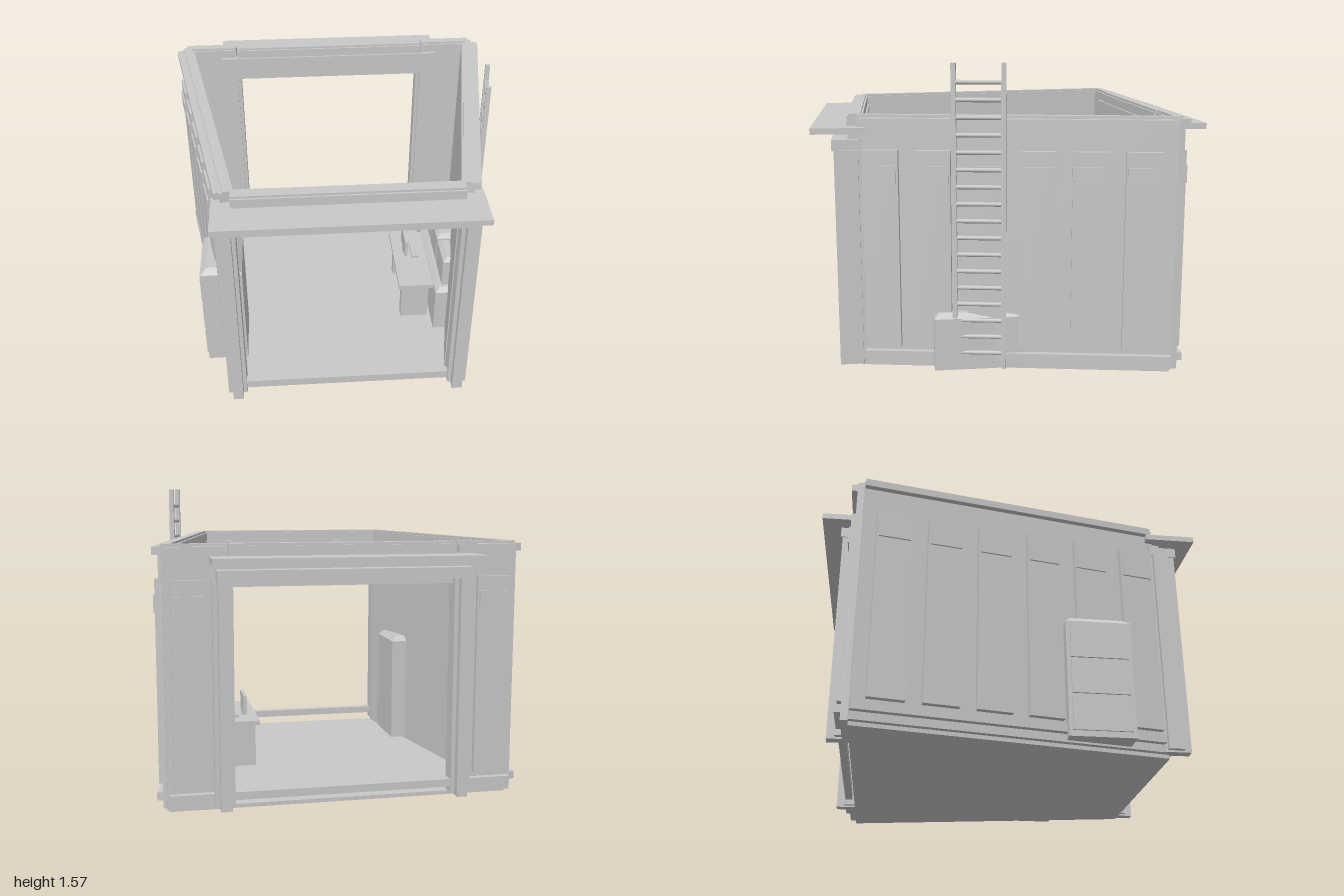
import * as THREE from 'three';

const mat = new THREE.MeshStandardMaterial({ color: 0xc8c8c8 });
mat.name = 'lightGrey';

function add(parent, name, geo) {
  const m = new THREE.Mesh(geo, mat);
  m.name = name;
  parent.add(m);
  return m;
}

// Box given by its limits on each axis
function box(parent, name, x0, x1, y0, y1, z0, z1) {
  const m = add(parent, name, new THREE.BoxGeometry(x1 - x0, y1 - y0, z1 - z0));
  m.position.set((x0 + x1) / 2, (y0 + y1) / 2, (z0 + z1) / 2);
  return m;
}

// Box whose top edges are cut at a slope
function chamferBox(parent, name, x0, x1, y0, y1, z0, z1, c) {
  const h = y1 - y0;
  const geo = new THREE.BoxGeometry(x1 - x0, h, z1 - z0, 1, 2, 1).toNonIndexed();
  const p = geo.attributes.position;
  for (let i = 0; i < p.count; i++) {
    const y = p.getY(i);
    if (Math.abs(y) < 1e-4) p.setY(i, h / 2 - c);
    else if (y > 0) {
      p.setX(i, p.getX(i) - Math.sign(p.getX(i)) * c);
      p.setZ(i, p.getZ(i) - Math.sign(p.getZ(i)) * c);
    }
  }
  geo.computeVertexNormals();
  const m = add(parent, name, geo);
  m.position.set((x0 + x1) / 2, (y0 + y1) / 2, (z0 + z1) / 2);
  return m;
}

// Slanted side wall: local +x points out, local z runs along the wall
const WALL_ANGLE = -0.181;
function wallFrame(parent, name, s) {
  const g = new THREE.Group();
  g.name = name;
  g.position.set(s * 0.755, 0, 0);
  g.rotation.y = s * WALL_ANGLE + (s < 0 ? Math.PI : 0);
  parent.add(g);
  return g;
}

function sideWall(parent, s) {
  const g = wallFrame(parent, s > 0 ? 'leftWall' : 'rightWall', s);
  // on the mirrored side the local z runs the other way
  const along = (name, x0, x1, y0, y1, z0, z1) =>
    s > 0 ? box(g, name, x0, x1, y0, y1, z0, z1) : box(g, name, x0, x1, y0, y1, -z1, -z0);
  along('wallSlab', -0.068, 0, 0.02, 1.3, -0.79, 0.79);
  along('wallCap', -0.056, -0.012, 1.3, 1.312, -0.79, 0.79);
  along('baseTrim', 0, 0.03, 0.06, 0.1, -0.79, 0.77);
  along('topTrim', 0, 0.03, 1.26, 1.298, -0.79, 0.77);
  for (let i = 0; i < 6; i++) {
    const z = (0.66 - i * 0.256) * 1.017;
    along('wallPanel', 0, 0.03, 0.125, 1.14, z - 0.09, z + 0.09);
    along('panelPlate', 0.03, 0.039, 0.975, 1.065, z - 0.08, z + 0.08);
  }
}

// Posts, lintel and canopy around an end opening; e = +1 front, -1 back
function endFrame(parent, e) {
  const g = new THREE.Group();
  g.name = e > 0 ? 'frontFrame' : 'backFrame';
  parent.add(g);
  const b = (name, x0, x1, y0, y1, z0, z1) =>
    e > 0 ? box(g, name, x0, x1, y0, y1, z0, z1) : box(g, name, x0, x1, y0, y1, -z1, -z0);
  for (const s of [-1, 1]) {
    const xs = (a, c) => (s > 0 ? [a, c] : [-c, -a]);
    b('postCore', ...xs(0.55, 0.65), 0.03, 1.14, 0.77, 0.85);
    b('postFace', ...xs(0.57, 0.625), 0.02, 1.14, 0.755, 0.89);
  }
  b('lintel', -0.6, 0.6, 1.105, 1.25, 0.755, 0.82);
  b('header', -0.63, 0.63, 1.135, 1.19, 0.755, 0.9);
  b('canopy', -0.66, 0.66, 1.222, 1.252, 0.735, 1);
  b('topBeam', -0.565, 0.565, 1.25, 1.3, 0.745, 0.825);
  b('topBeamCap', -0.565, 0.565, 1.3, 1.312, 0.755, 0.815);
  b('sillBar', -0.57, 0.57, 0.06, 0.1, 0.8, 0.84);
}

// Solid wall beside the back opening
function backWing(parent, s) {
  const g = new THREE.Group();
  g.name = s > 0 ? 'leftBackWing' : 'rightBackWing';
  parent.add(g);
  const b = (name, x0, x1, ...r) => box(g, name, s > 0 ? x0 : -x1, s > 0 ? x1 : -x0, ...r);
  b('wingSlab', 0.57, 0.88, 0.02, 1.3, -0.815, -0.755);
  b('wingCap', 0.57, 0.87, 1.3, 1.312, -0.805, -0.765);
  b('wingBaseTrim', 0.57, 0.87, 0.06, 0.1, -0.845, -0.815);
  b('wingTopTrim', 0.57, 0.87, 1.26, 1.298, -0.845, -0.815);
  b('wingPanel', 0.675, 0.845, 0.125, 1.14, -0.838, -0.815);
  b('wingPlate', 0.685, 0.835, 0.975, 1.065, -0.847, -0.838);
}

export function createModel() {
  const model = new THREE.Group();
  model.name = 'openRoom';

  // Floor slab, wider at the back
  const plan = new THREE.Shape([[-0.58, -0.79], [0.58, -0.79], [0.87, 0.78], [-0.87, 0.78]]
    .map(([x, y]) => new THREE.Vector2(x, y)));
  const floor = add(model, 'floor', new THREE.ExtrudeGeometry(plan, { depth: 0.02, bevelEnabled: false }));
  floor.rotation.x = -Math.PI / 2;

  for (const s of [1, -1]) {
    sideWall(model, s);
    endFrame(model, s);
    backWing(model, s);
  }

  // Ladder on the outside of the left wall
  const ladder = wallFrame(model, 'ladder', 1);
  for (const z of [0.056, 0.3]) box(ladder, 'ladderRail', 0.037, 0.062, 0.03, 1.57, z - 0.012, z + 0.012);
  for (let i = 0; i < 17; i++) {
    const rung = add(ladder, 'rung', new THREE.CylinderGeometry(0.011, 0.011, 0.24, 8));
    rung.rotation.x = Math.PI / 2;
    rung.position.set(0.05, 0.11 + i * 0.0855, 0.178);
  }

  // Low cabinet with three units on top, each reaching back to the slanted wall
  chamferBox(model, 'cabinet', 0.54, 0.765, 0.02, 0.315, -0.31, 0.41, 0.025);
  for (const [z, x1] of [[-0.17, 0.73], [0.045, 0.7], [0.265, 0.665]])
    chamferBox(model, 'cabinetUnit', 0.58, x1, 0.315, 0.5, z - 0.1, z + 0.1, 0.022);

  // Desk with screen and keyboard
  const desk = new THREE.Group();
  desk.name = 'desk';
  model.add(desk);
  box(desk, 'deskTop', 0.34, 0.545, 0.26, 0.285, -0.18, 0.33);
  for (const z of [-0.12, 0.27]) box(desk, 'deskLeg', 0.36, 0.52, 0.02, 0.26, z - 0.025, z + 0.025);
  box(desk, 'screen', 0.402, 0.42, 0.305, 0.41, -0.09, 0.08);
  box(desk, 'screenStand', 0.4, 0.422, 0.285, 0.305, -0.03, 0.02);
  box(desk, 'keyboard', 0.447, 0.492, 0.285, 0.3, -0.08, 0.075);

  // Tall locker set through the right wall
  chamferBox(model, 'locker', -0.77, -0.55, 0.03, 0.67, 0.25, 0.58, 0.03);
  for (let i = 0; i < 3; i++) {
    const y = 0.06 + i * 0.19;
    box(model, 'lockerPanel', -0.779, -0.77, y, y + 0.175, 0.27, 0.56);
  }
  return model;
}
